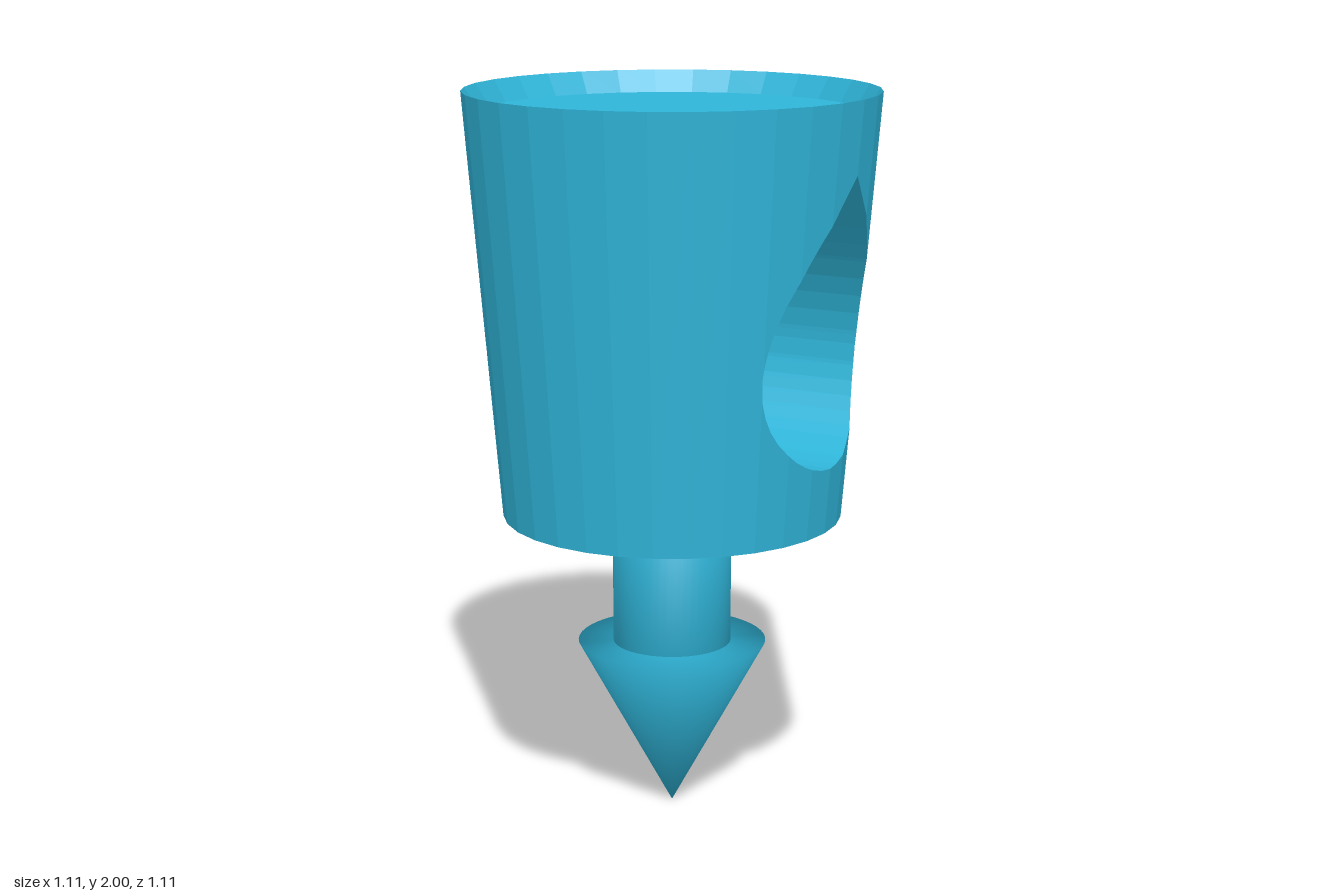
import * as THREE from 'three';
import { mergeVertices } from 'three/addons/utils/BufferGeometryUtils.js';

const SIDES = 32, STEP = (Math.PI * 2) / SIDES;
const BOTTOM = 0.845, TOP = 2, R_BOTTOM = 0.463, R_TOP = 0.557;
const FLOOR = 1.94, R_FLOOR = 0.52;
const HOLE_R = 0.28, HOLE_Y = 1.305;

// Radius of the tapered body at a height
const radius = (y) => R_BOTTOM + ((R_TOP - R_BOTTOM) * (y - BOTTOM)) / (TOP - BOTTOM);

// Half outlines of the teardrop hole as (z, y): pointed top and round bottom
const upperCurve = new THREE.CubicBezierCurve(
  new THREE.Vector2(HOLE_R, HOLE_Y), new THREE.Vector2(0.28, 1.5),
  new THREE.Vector2(0.13, 1.66), new THREE.Vector2(0, 1.805));
const upper = (t) => upperCurve.getPoint(t);
const lower = (t) => new THREE.Vector2(
  HOLE_R * Math.cos((t * Math.PI) / 2), HOLE_Y - HOLE_R * Math.sin((t * Math.PI) / 2));
const U_MAX = HOLE_R / radius(HOLE_Y);

// Height at which a half outline crosses the body line z / radius = u
function holeY(curve, u) {
  if (Math.abs(u) >= U_MAX - 1e-6) return HOLE_Y;
  let lo = 0, hi = 1;
  for (let i = 0; i < 40; i++) {
    const mid = (lo + hi) / 2, p = curve(mid);
    if (p.x / radius(p.y) > Math.abs(u)) lo = mid; else hi = mid;
  }
  return curve(hi).y;
}

// Point on the faceted body, on the +x (s = 1) or -x (s = -1) half
function bodyPoint(s, u, y) {
  const k = Math.min(7, Math.floor(Math.asin(Math.abs(u)) / STEP + 1e-6));
  const a = k * STEP, b = a + STEP;
  const f = (Math.abs(u) - Math.sin(a)) / (Math.sin(b) - Math.sin(a));
  const x = THREE.MathUtils.lerp(Math.cos(a), Math.cos(b), f);
  return [s * x * radius(y), y, u * radius(y)];
}

function flatGeometry(positions) {
  const g = new THREE.BufferGeometry();
  g.setAttribute('position', new THREE.Float32BufferAttribute(positions, 3));
  g.computeVertexNormals();
  return g;
}

function addQuad(out, a, b, c, d, flip) {
  if (flip) [b, d] = [d, b];
  out.push(...a, ...b, ...c, ...a, ...c, ...d);
}

// Outer wall and teardrop tunnel, made in upright columns
function buildBody() {
  const us = [];
  for (let k = -8; k <= 8; k++) us.push(Math.sin(k * STEP));
  for (let j = -10; j <= 10; j++) if (j) us.push(U_MAX * Math.sin((j * Math.PI) / 20));
  us.sort((a, b) => a - b);
  const wall = [], tunnel = [];
  for (let i = 0; i < us.length - 1; i++) {
    const u0 = us[i], u1 = us[i + 1];
    if (u1 - u0 < 1e-5) continue;
    const inHole = Math.abs((u0 + u1) / 2) < U_MAX;
    const l0 = holeY(lower, u0), l1 = holeY(lower, u1);
    const h0 = holeY(upper, u0), h1 = holeY(upper, u1);
    for (const s of [1, -1]) {
      const p = (u, y) => bodyPoint(s, u, y);
      const strip = (a0, a1, b0, b1) =>
        addQuad(wall, p(u1, a1), p(u0, a0), p(u0, b0), p(u1, b1), s < 0);
      if (inHole) {
        strip(BOTTOM, BOTTOM, l0, l1);
        strip(h0, h1, TOP, TOP);
      } else strip(BOTTOM, BOTTOM, TOP, TOP);
    }
    if (inHole) {
      const across = (y0, y1, flip) => addQuad(tunnel,
        bodyPoint(-1, u1, y1), bodyPoint(1, u1, y1),
        bodyPoint(1, u0, y0), bodyPoint(-1, u0, y0), flip);
      across(l0, l1, false);
      across(h0, h1, true);
    }
  }
  return [flatGeometry(wall), flatGeometry(tunnel)];
}

// Faceted turned surface from (radius, y) pairs
function turned(points) {
  const lathe = new THREE.LatheGeometry(points.map(([r, y]) => new THREE.Vector2(r, y)), SIDES);
  const g = lathe.toNonIndexed();
  g.computeVertexNormals();
  return g;
}

// Share vertices so shading runs smoothly over the edges too
function smooth(g) {
  g.deleteAttribute('uv');
  g.deleteAttribute('normal');
  const merged = mergeVertices(g, 1e-4);
  merged.computeVertexNormals();
  return merged;
}

export function createModel() {
  const group = new THREE.Group();
  group.name = 'taperedPeg';
  const blue = new THREE.MeshStandardMaterial({ color: 0x2fb5d9 });
  blue.name = 'sky blue';
  const add = (name, geometry) => {
    const mesh = new THREE.Mesh(geometry, blue);
    mesh.name = name;
    group.add(mesh);
  };

  // Body with its hole, shallow top recess and underside
  const [wall, tunnel] = buildBody();
  add('bodyWall', wall);
  add('teardropTunnel', tunnel);
  add('topRecess', turned([[R_TOP, TOP], [R_FLOOR, FLOOR], [0, FLOOR]]));
  add('underside', turned([[0, BOTTOM], [R_BOTTOM, BOTTOM]]));

  // Stem and pointed tip
  const stem = new THREE.CylinderGeometry(0.163, 0.163, BOTTOM - 0.478, 48);
  stem.translate(0, (BOTTOM + 0.478) / 2, 0);
  add('stem', smooth(stem));
  const tip = new THREE.ConeGeometry(0.26, 0.478, 48);
  tip.rotateX(Math.PI).translate(0, 0.239, 0);
  add('pointedTip', smooth(tip));

  return group;
}
